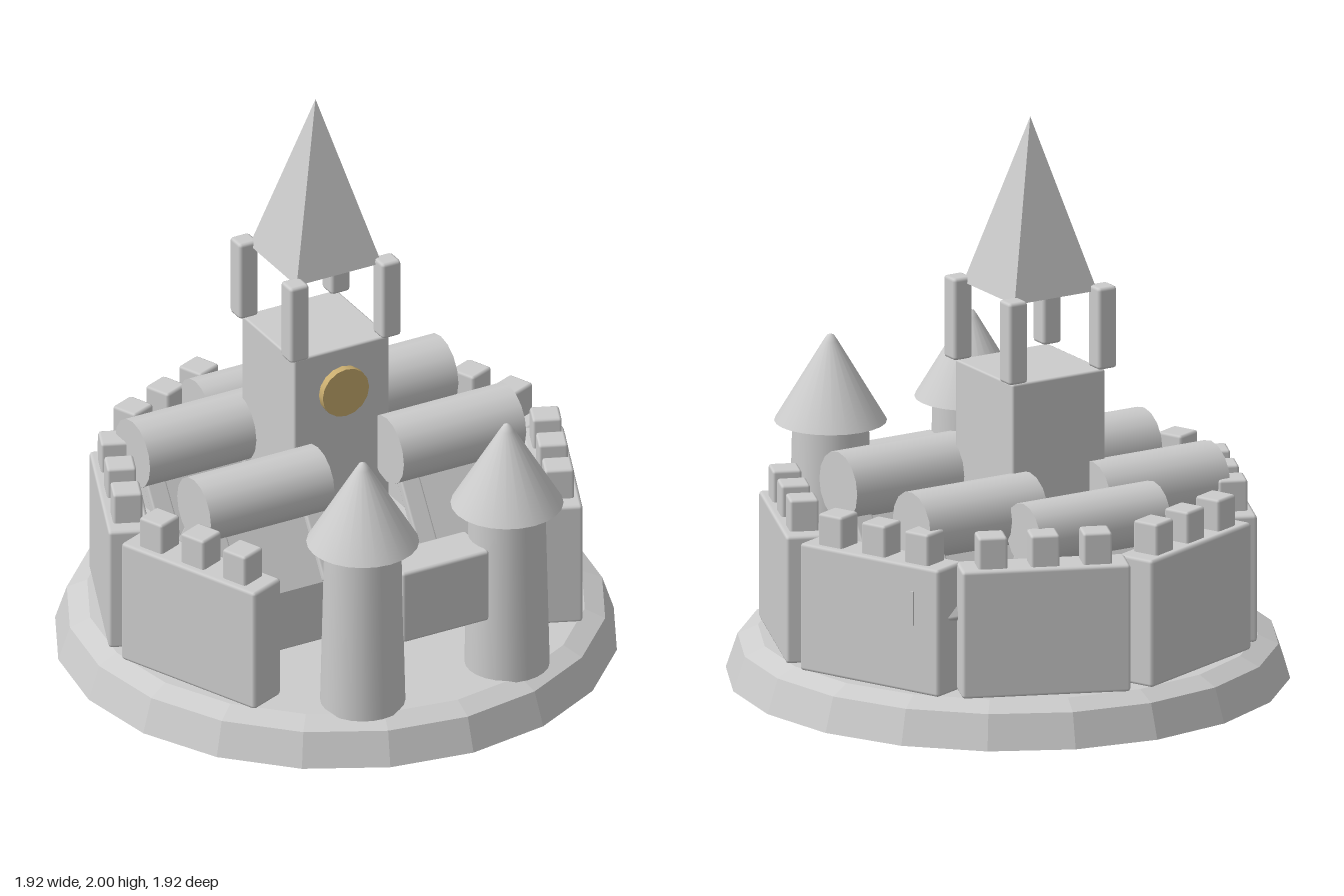
import * as THREE from 'three';
import { RoundedBoxGeometry } from 'three/addons/geometries/RoundedBoxGeometry.js';

const stone = new THREE.MeshStandardMaterial({ color: 0xcccccc });
stone.name = 'stone';
const gold = new THREE.MeshStandardMaterial({ color: 0xc9ad6f });
gold.name = 'gold';

function add(parent, name, geometry, x = 0, y = 0, z = 0, material = stone) {
  const mesh = new THREE.Mesh(geometry, material);
  mesh.name = name;
  mesh.position.set(x, y, z);
  parent.add(mesh);
  return mesh;
}

function group(parent, name) {
  const g = new THREE.Group();
  g.name = name;
  parent.add(g);
  return g;
}

// Box with slightly softened edges
const block = (w, h, d, r = 0.008) => new RoundedBoxGeometry(w, h, d, 1, r);

function faceted(geometry) {
  const flat = geometry.toNonIndexed();
  flat.computeVertexNormals();
  return flat;
}

// Straight wall section with three merlons, facing outward at an angle
function addWall(parent, angle) {
  const wall = group(parent, 'wallSection');
  wall.rotation.y = angle;
  add(wall, 'wall', block(0.58, 0.45, 0.146, 0.012), 0, 0.375, 0.737);
  for (const x of [-0.18, 0, 0.18]) {
    add(wall, 'merlon', block(0.1, 0.13, 0.1, 0.01), x, 0.645, 0.737);
  }
}

// Round gate tower with a pointed cap
function addGateTower(parent, x) {
  const tower = group(parent, 'gateTower');
  tower.position.set(x, 0, 0.69);
  add(tower, 'towerBody', new THREE.CylinderGeometry(0.13, 0.145, 0.63, 24), 0, 0.46);
  const cap = [[0, 0.765], [0.192, 0.765], [0.192, 0.765], [0.025, 1.045], [0.012, 1.065], [0, 1.07]];
  add(tower, 'towerCap', new THREE.LatheGeometry(cap.map(([r, y]) => new THREE.Vector2(r, y)), 24));
}

// House: lower storey, steep gable with leaning beams, barrel ridge
function addHouse(parent, { x, z, ridge, radius, length }) {
  const house = group(parent, 'house');
  house.position.set(x, 0, z);
  const eave = ridge - 0.29, depth = 0.19, half = length / 2;
  add(house, 'houseBody', block(length + 0.06, eave - 0.08, 0.28), 0, (eave + 0.22) / 2, 0);

  const gable = new THREE.Shape([
    new THREE.Vector2(-depth, eave),
    new THREE.Vector2(depth, eave),
    new THREE.Vector2(0, ridge),
  ]);
  const roof = new THREE.ExtrudeGeometry(gable, { depth: length - 0.1, bevelEnabled: false });
  roof.translate(0, 0, -(length - 0.1) / 2).rotateY(Math.PI / 2);
  add(house, 'gableRoof', roof);

  const slope = Math.hypot(depth, ridge - eave);
  const lean = Math.atan2(depth, ridge - eave);
  for (const sx of [-1, 1]) {
    for (const sz of [-1, 1]) {
      const beam = add(house, 'roofBeam', block(0.075, slope, 0.035),
        sx * (half - 0.05), (eave + ridge) / 2, sz * depth / 2);
      beam.rotation.x = -sz * lean;
    }
  }
  const barrel = new THREE.CylinderGeometry(radius, radius, length, 16).rotateZ(Math.PI / 2);
  add(house, 'barrelRidge', barrel, 0, ridge, 0);
}

export function createModel() {
  const castle = new THREE.Group();
  castle.name = 'castle';

  // Twenty-sided plinth with a bevelled rim
  add(castle, 'plinth', faceted(new THREE.CylinderGeometry(0.92, 0.96, 0.12, 20)), 0, 0.06);
  add(castle, 'plinthRim', faceted(new THREE.CylinderGeometry(0.85, 0.92, 0.032, 20)), 0, 0.136);

  // Six sides of an octagon, open at the front
  for (const deg of [67.5, 112.5, 157.5]) {
    for (const side of [-1, 1]) addWall(castle, side * THREE.MathUtils.degToRad(deg));
  }
  const slit = add(castle, 'arrowSlit', new THREE.BoxGeometry(0.012, 0.12, 0.008), 0.68, 0.45, -0.48);
  slit.rotation.y = THREE.MathUtils.degToRad(112.5);

  // Gatehouse
  for (const side of [-1, 1]) addGateTower(castle, side * 0.28);
  add(castle, 'gateLintel', block(0.34, 0.27, 0.17, 0.012), 0, 0.51, 0.685);

  // Bell tower with open corner posts and a pyramid spire
  const keep = group(castle, 'bellTower');
  keep.position.z = -0.143;
  add(keep, 'keepBody', block(0.37, 0.98, 0.37), 0, 0.635, 0);
  for (const x of [-0.178, 0.178]) {
    for (const z of [-0.178, 0.178]) {
      add(keep, 'cornerPost', block(0.074, 0.29, 0.074, 0.012), x, 1.277, z);
    }
  }
  const spire = new THREE.ConeGeometry(0.165 * Math.SQRT2, 0.6, 4).rotateY(Math.PI / 4);
  add(keep, 'spire', faceted(spire), 0, 1.7, 0);
  const dial = new THREE.CylinderGeometry(0.09, 0.09, 0.035, 16).rotateX(Math.PI / 2);
  add(keep, 'clockDial', dial, 0, 0.965, 0.195, gold);

  // Houses inside the walls
  const houses = [
    { x: -0.375, z: 0.115, ridge: 0.695, radius: 0.118, length: 0.48 },
    { x: 0.375, z: 0.105, ridge: 0.725, radius: 0.122, length: 0.475 },
    { x: -0.36, z: -0.345, ridge: 0.69, radius: 0.122, length: 0.475 },
    { x: 0.37, z: -0.355, ridge: 0.695, radius: 0.122, length: 0.47 },
    { x: 0.02, z: -0.55, ridge: 0.665, radius: 0.11, length: 0.52 },
  ];
  for (const house of houses) addHouse(castle, house);

  return castle;
}
